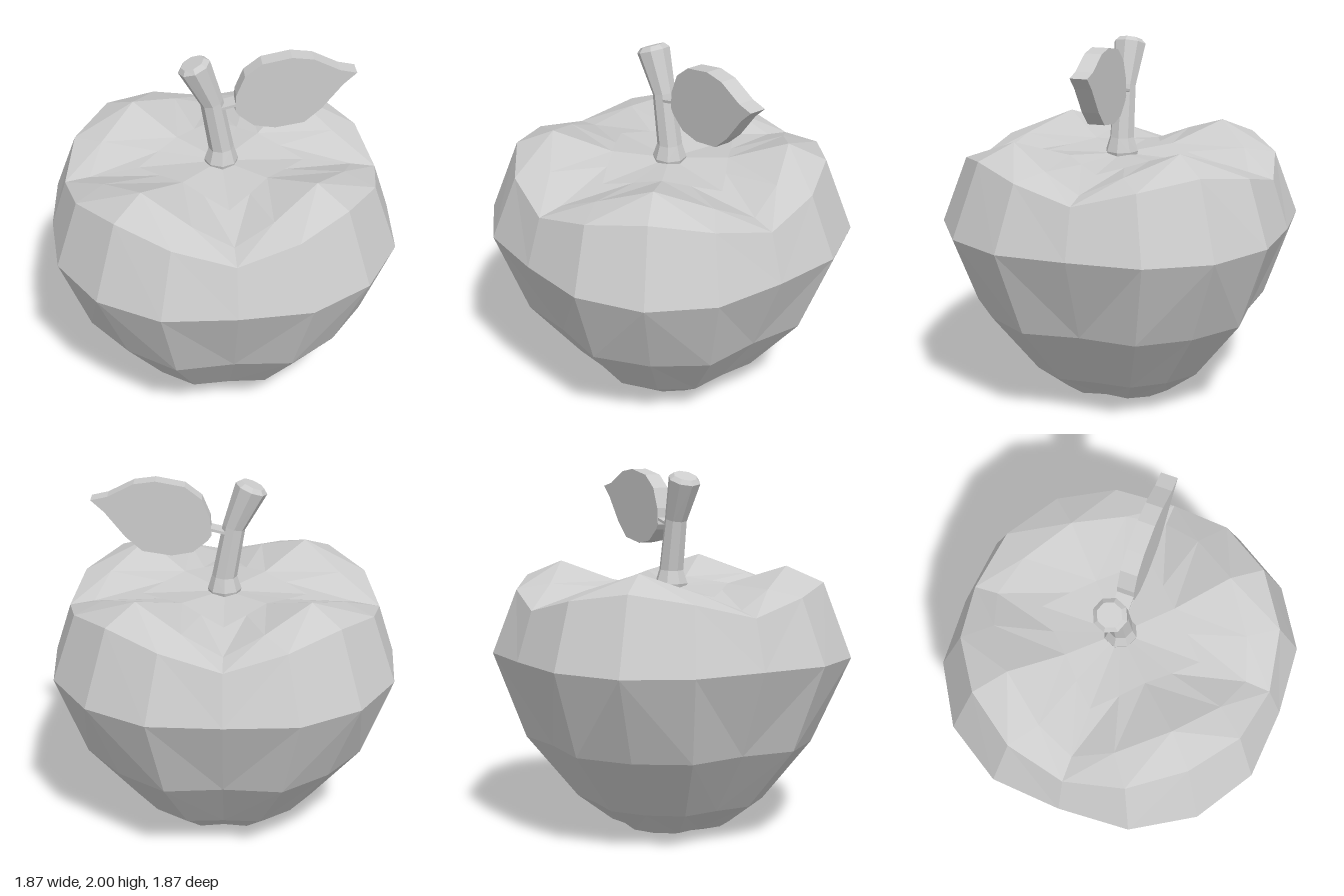
import * as THREE from 'three';

// Faceted skin over closed rings listed bottom to top, with fan caps at both ends.
function loft(rings, bottom, top) {
  const n = rings[0].length, pos = [];
  const tri = (a, b, c) => pos.push(...a, ...b, ...c);
  for (let j = 0; j < n; j++) {
    const k = (j + 1) % n, last = rings.length - 1;
    tri(bottom, rings[0][k], rings[0][j]);
    for (let i = 0; i < last; i++) {
      const a = rings[i][j], b = rings[i][k], c = rings[i + 1][k], d = rings[i + 1][j];
      // mirror the diagonals so every lobe is symmetrical
      if (j % 4 < 2) { tri(a, b, c); tri(a, c, d); }
      else { tri(a, b, d); tri(b, c, d); }
    }
    tri(top, rings[last][j], rings[last][k]);
  }
  const g = new THREE.BufferGeometry();
  g.setAttribute('position', new THREE.Float32BufferAttribute(pos, 3));
  g.computeVertexNormals();
  return g;
}

// Four-lobed ring of 16 points: valley on the axes, crest on the diagonals.
function lobedRing([axis, minor, major, diag, yAxis, yMid, yDiag]) {
  const quarter = [[0, yAxis, axis], [minor, yMid, major], [diag, yDiag, diag], [major, yMid, minor]];
  const ring = [];
  for (let q = 0; q < 4; q++) {
    const c = Math.round(Math.cos(q * Math.PI / 2)), s = Math.round(Math.sin(q * Math.PI / 2));
    for (const [x, y, z] of quarter) ring.push([x * c + z * s, y, z * c - x * s]);
  }
  return ring;
}

// Octagonal stem ring, tilted about z.
function stemRing([cx, cy, r, tilt]) {
  return Array.from({ length: 8 }, (_, i) => {
    const a = i * Math.PI / 4, s = r * Math.sin(a);
    return [cx + s * Math.cos(tilt), cy + s * Math.sin(tilt), r * Math.cos(a)];
  });
}

// Flat outline extruded evenly about z = 0.
function slab(points, depth) {
  const shape = new THREE.Shape(points.map(([x, y]) => new THREE.Vector2(x, y)));
  const g = new THREE.ExtrudeGeometry(shape, { depth, bevelEnabled: false });
  return g.translate(0, 0, -depth / 2);
}

export function createModel() {
  const group = new THREE.Group();
  const gray = new THREE.MeshStandardMaterial({ color: 0xcccccc, flatShading: true });
  gray.name = 'light gray';
  const add = (name, geometry) => {
    const mesh = new THREE.Mesh(geometry, gray);
    mesh.name = name;
    group.add(mesh);
  };

  // fruit body, from the base up over the lobes and into the dimple
  const body = [
    [0.10, 0.04, 0.095, 0.075, 0.006, 0.002, 0],
    [0.21, 0.09, 0.21, 0.16, 0.016, 0.012, 0.01],
    [0.30, 0.13, 0.31, 0.235, 0.05, 0.045, 0.04],
    [0.48, 0.20, 0.49, 0.37, 0.19, 0.19, 0.19],
    [0.735, 0.31, 0.75, 0.56, 0.54, 0.535, 0.53],
    [0.935, 0.39, 0.908, 0.71, 1.01, 1.005, 1.0],
    [0.85, 0.325, 0.79, 0.60, 1.275, 1.355, 1.405],
    [0.715, 0.21, 0.64, 0.455, 1.30, 1.39, 1.49],
    [0.45, 0.12, 0.335, 0.225, 1.345, 1.365, 1.385],
  ].map(lobedRing);
  add('fruitBody', loft(body, [0, 0.002, 0], [0, 1.365, 0]));

  // leaning stem with flared foot and bevelled tip
  const stem = [
    [0, 1.33, 0.08, 0],
    [0, 1.38, 0.092, 0],
    [0, 1.455, 0.068, 0.05],
    [-0.05, 1.735, 0.062, 0.25],
    [-0.142, 1.95, 0.09, 0.37],
    [-0.15, 1.972, 0.066, 0.4],
  ].map(stemRing);
  add('stem', loft(stem, [0, 1.33, 0], [-0.15, 1.972, 0]));

  // leaf and its short stalk
  add('leaf', slab([
    [0.07, 1.70], [0.09, 1.67], [0.17, 1.605], [0.285, 1.585], [0.44, 1.61], [0.53, 1.69], [0.64, 1.83],
    [0.71, 1.895], [0.62, 1.915], [0.48, 1.985], [0.365, 2.0], [0.21, 1.97], [0.12, 1.90], [0.075, 1.79],
  ], 0.092));
  add('leafStalk', slab([[-0.02, 1.70], [0.08, 1.725], [0.08, 1.74], [-0.02, 1.715]], 0.09));

  return group;
}
